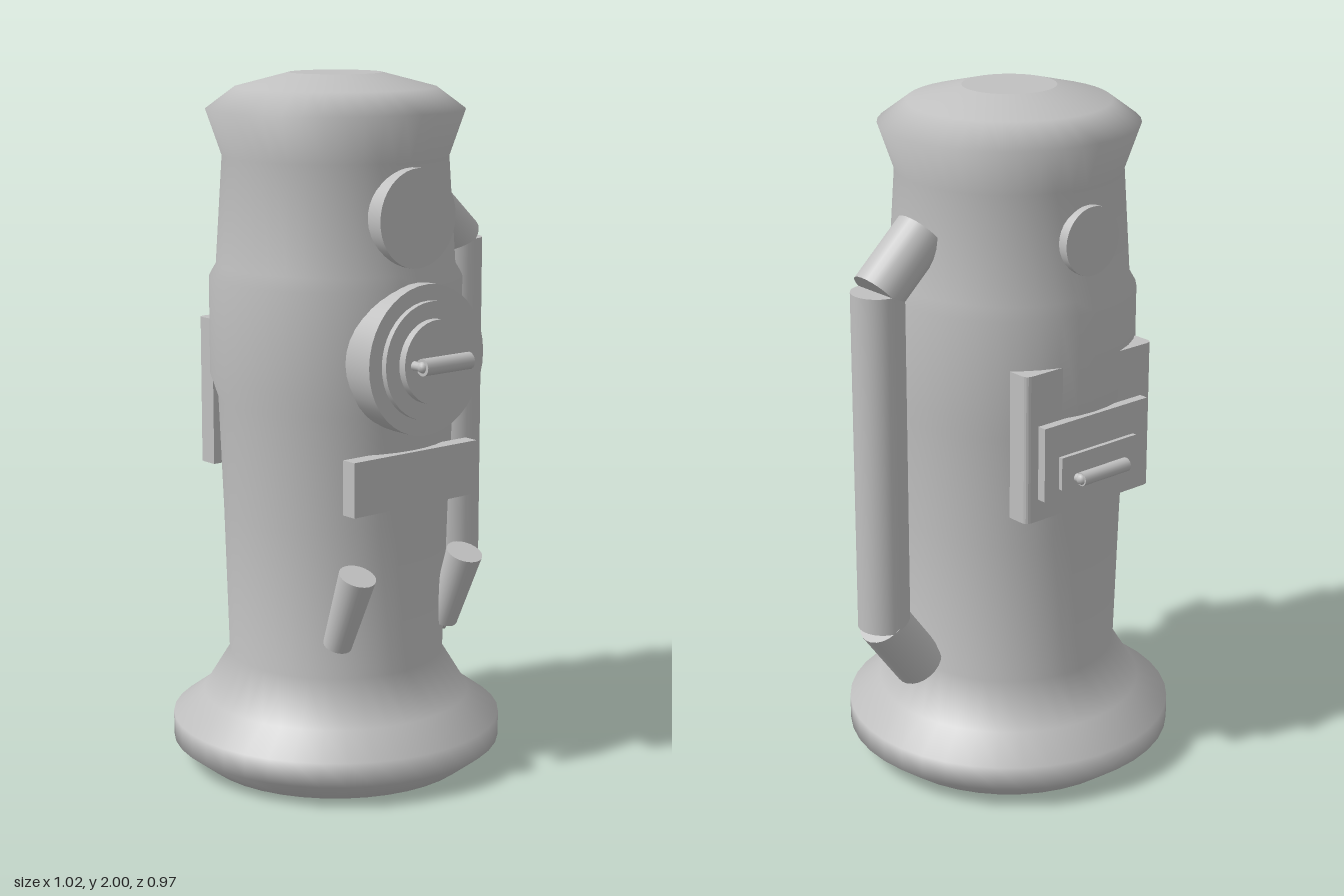
import * as THREE from 'three';

export function createModel() {
  const model = new THREE.Group();
  const grey = new THREE.MeshStandardMaterial({ color: 0xc0c0c0 });
  grey.name = 'grey metal';
  const CX = -0.035, CZ = -0.005; // axis of the body

  function add(name, geometry, x, y, z, parent = model) {
    const mesh = new THREE.Mesh(geometry, grey);
    mesh.name = name;
    mesh.position.set(x, y, z);
    parent.add(mesh);
    return mesh;
  }

  // Cylinder running from a to b, radius ra at a and rb at b
  function rod(name, a, b, ra, rb = ra, segments = 24) {
    const from = new THREE.Vector3(...a), to = new THREE.Vector3(...b);
    const dir = to.clone().sub(from);
    const mid = from.clone().add(to).multiplyScalar(0.5);
    const mesh = add(name, new THREE.CylinderGeometry(rb, ra, dir.length(), segments), mid.x, mid.y, mid.z);
    mesh.quaternion.setFromUnitVectors(new THREE.Vector3(0, 1, 0), dir.normalize());
    return mesh;
  }

  // Box with its depth given as a z range
  function plate(name, w, y0, y1, z0, z1) {
    return add(name, new THREE.BoxGeometry(w, y1 - y0, z1 - z0), CX, (y0 + y1) / 2, (z0 + z1) / 2);
  }

  // Turned body with flared foot, waist bulge and cap
  const profile = [
    [0.395, 0], [0.48, 0.065], [0.48, 0.135], [0.39, 0.2], [0.313, 0.325],
    [0.325, 0.75], [0.338, 1.08], [0.361, 1.15], [0.361, 1.43], [0.341, 1.465],
    [0.321, 1.77], [0.366, 1.9], [0.285, 1.96], [0.132, 2]
  ].map(([r, y]) => new THREE.Vector2(r, y));
  add('body', new THREE.LatheGeometry(profile, 40), CX, 0, CZ);
  add('topDisc', new THREE.CircleGeometry(0.132, 40), CX, 2, CZ).rotation.x = -Math.PI / 2;
  add('bottomDisc', new THREE.CircleGeometry(0.395, 40), CX, 0, CZ).rotation.x = Math.PI / 2;

  // Side pipe with two angled elbows
  rod('pipe', [0.435, 0.505, CZ], [0.435, 1.5, CZ], 0.075);
  rod('pipeUpperElbow', [0.283, 1.636, CZ], [0.437, 1.494, CZ], 0.075);
  rod('pipeLowerElbow', [0.311, 0.343, CZ], [0.439, 0.517, CZ], 0.075);

  // Front window and stepped dial
  rod('frontWindow', [CX, 1.62, 0.2], [CX, 1.62, 0.347], 0.137, 0.137, 40);
  [[0.21, 0.387], [0.165, 0.404], [0.117, 0.427]].forEach(([r, z], i) =>
    rod('dialStep' + (i + 1), [CX, 1.235, 0.24], [CX, 1.235, z], r, r, 40));

  // Bar handle on two posts, used on the front and back
  function barHandle(name, y, zBase, zBar, r) {
    rod(name + 'Bar', [CX - 0.086, y, zBar], [CX + 0.086, y, zBar], r, r, 16);
    for (const s of [-1, 1]) {
      const x = CX + s * 0.083;
      rod(name + 'Post', [x, y, zBase], [x, y, zBar], 0.013, 0.013, 12);
      add(name + 'Knob', new THREE.SphereGeometry(0.016, 12, 8), x, y, zBar);
    }
  }
  barHandle('dialHandle', 1.235, 0.42, 0.462, 0.024);

  // Front nameplate without lettering
  plate('frontPanel', 0.455, 0.817, 0.972, 0.3, 0.347);

  // Tilted tapering pegs
  for (const s of [-1, 1]) {
    const x = CX + s * 0.201;
    rod('peg', [x, 0.427, 0.243], [x, 0.645, 0.33], 0.041, 0.053);
  }

  // Back window, hatch and hatch handle
  rod('backWindow', [CX, 1.627, -0.2], [CX, 1.627, -0.35], 0.097, 0.097, 32);
  const w = 0.235, e = 0.025;
  const hatch = new THREE.Shape();
  hatch.moveTo(-w, 0);
  hatch.lineTo(w, 0);
  hatch.lineTo(w, 0.05);
  hatch.quadraticCurveTo(w, 0.07, w - e, 0.07);
  hatch.lineTo(-w + e, 0.07);
  hatch.quadraticCurveTo(-w, 0.07, -w, 0.05);
  const hatchMesh = add('hatchFrame',
    new THREE.ExtrudeGeometry(hatch, { depth: 0.43, bevelEnabled: false, curveSegments: 5 }), CX, 0.86, -0.28);
  hatchMesh.rotation.x = -Math.PI / 2;
  plate('hatchDoor', 0.385, 0.925, 1.14, -0.377, -0.3);
  plate('hatchLatch', 0.28, 0.95, 1.045, -0.39, -0.33);
  barHandle('hatchHandle', 0.975, -0.385, -0.408, 0.02);

  return model;
}
